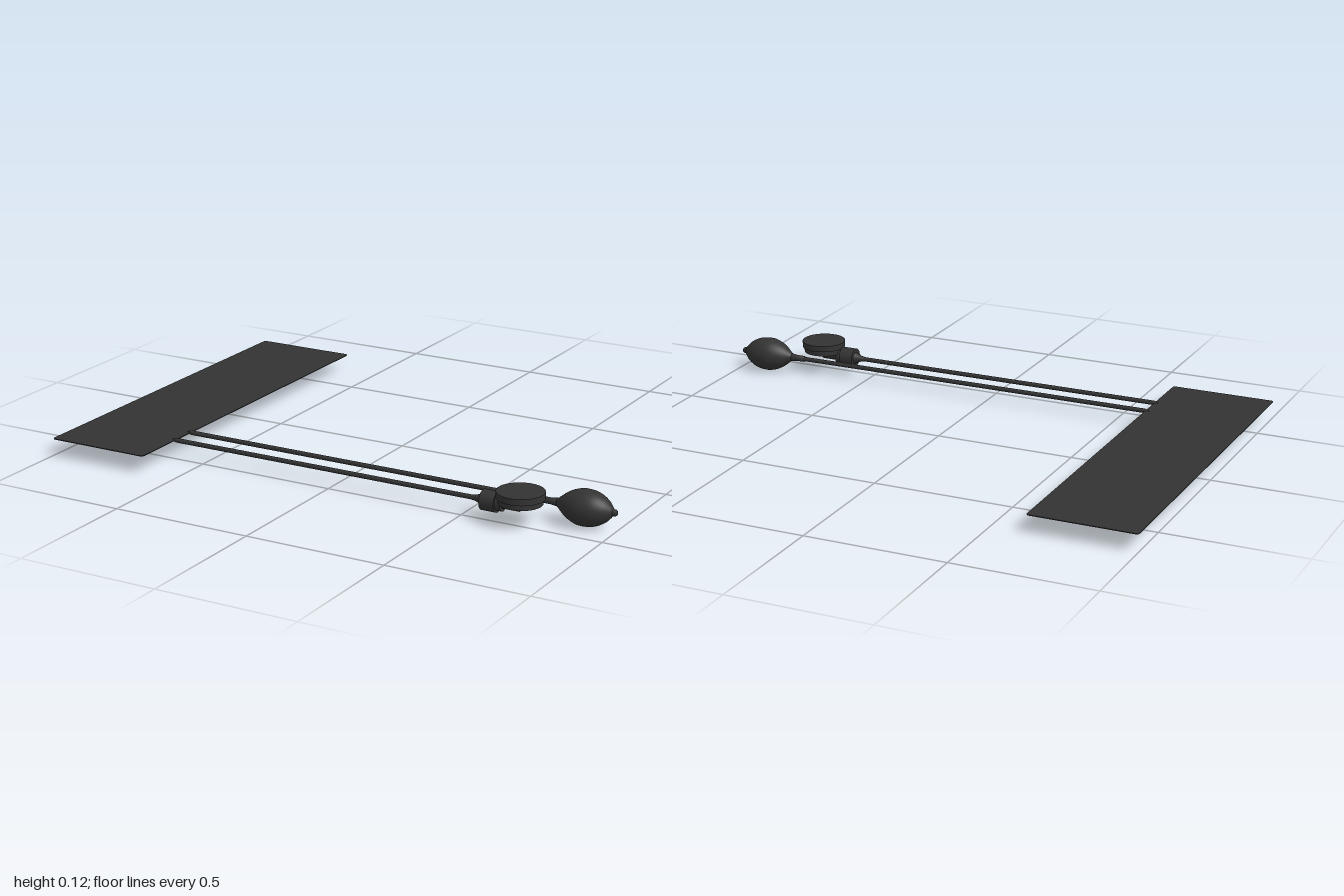
import * as THREE from 'three';

const DARK = new THREE.MeshStandardMaterial({ color: 0x333333 });
const AXIS_Y = 0.065, BULB_Z = 0.39, GAUGE_Z = 0.483;

// Turned part lying along x; profile is a list of [x, radius]
function turnedX(name, profile, z, segments = 32) {
  const points = profile.map(([x, r]) => new THREE.Vector2(r, x));
  const geometry = new THREE.LatheGeometry(points, segments);
  geometry.rotateZ(-Math.PI / 2);
  const mesh = new THREE.Mesh(geometry, DARK);
  mesh.name = name;
  mesh.position.set(0, AXIS_Y, z);
  return mesh;
}

// Upright or x-aligned disc
function cylinder(name, radius, length, x, y, z, alongX = false) {
  const geometry = new THREE.CylinderGeometry(radius, radius, length, 40);
  if (alongX) geometry.rotateZ(Math.PI / 2);
  const mesh = new THREE.Mesh(geometry, DARK);
  mesh.name = name;
  mesh.position.set(x, y, z);
  return mesh;
}

// Thin flat sheet with slightly rounded corners
function createCuff() {
  const x0 = -1, x1 = -0.622, h = 0.68, r = 0.012, t = 0.003;
  const s = new THREE.Shape();
  s.moveTo(x0 + r, -h);
  s.lineTo(x1 - r, -h);
  s.quadraticCurveTo(x1, -h, x1, -h + r);
  s.lineTo(x1, h - r);
  s.quadraticCurveTo(x1, h, x1 - r, h);
  s.lineTo(x0 + r, h);
  s.quadraticCurveTo(x0, h, x0, h - r);
  s.lineTo(x0, -h + r);
  s.quadraticCurveTo(x0, -h, x0 + r, -h);
  const geometry = new THREE.ExtrudeGeometry(s, { depth: t, bevelEnabled: false, curveSegments: 4 });
  geometry.rotateX(-Math.PI / 2);
  const mesh = new THREE.Mesh(geometry, DARK);
  mesh.name = 'cuff';
  mesh.position.y = AXIS_Y - t / 2;
  return mesh;
}

// Hose whose end flattens out into the cuff edge
function createHose(name, endX, z) {
  return turnedX(name, [[-0.64, 0], [-0.64, 0.001], [-0.62, 0.008], [endX, 0.008], [endX, 0]], z, 16);
}

function createBulb() {
  const bulb = new THREE.Group();
  bulb.name = 'bulb';
  const curve = new THREE.SplineCurve([
    [0.782, 0.006], [0.80, 0.020], [0.83, 0.043], [0.865, 0.058], [0.895, 0.061],
    [0.93, 0.055], [0.96, 0.039], [0.978, 0.022], [0.987, 0.01],
  ].map(([x, r]) => new THREE.Vector2(x, r)));
  const profile = curve.getPoints(32).map((p) => [p.x, p.y]);
  bulb.add(
    turnedX('bulbBody', profile, BULB_Z, 40),
    turnedX('bulbNozzle', [[0.74, 0], [0.74, 0.011], [0.77, 0.011], [0.79, 0.014], [0.80, 0.01]], BULB_Z),
    turnedX('endValve', [[0.975, 0.012], [0.995, 0.011], [1, 0.007], [1, 0]], BULB_Z),
  );
  return bulb;
}

function createGauge() {
  const gauge = new THREE.Group();
  gauge.name = 'gauge';
  const x = 0.705;
  gauge.add(
    cylinder('gaugeFace', 0.08, 0.022, x, 0.106, GAUGE_Z),
    cylinder('gaugeBack', 0.073, 0.02, x, 0.086, GAUGE_Z),
    // Connector from the hose to the dial
    turnedX('hoseCone', [[0.53, 0.008], [0.548, 0.011], [0.572, 0.022]], GAUGE_Z),
    cylinder('collar', 0.035, 0.053, 0.598, AXIS_Y, GAUGE_Z, true),
    cylinder('neck', 0.028, 0.02, 0.634, AXIS_Y, GAUGE_Z, true),
    cylinder('stem', 0.018, 0.08, 0.664, AXIS_Y, GAUGE_Z, true),
  );
  return gauge;
}

export function createModel() {
  const model = new THREE.Group();
  model.name = 'pressureCuff';
  model.add(
    createCuff(),
    createHose('bulbHose', 0.76, BULB_Z),
    createHose('gaugeHose', 0.56, GAUGE_Z),
    createBulb(),
    createGauge(),
  );
  return model;
}
